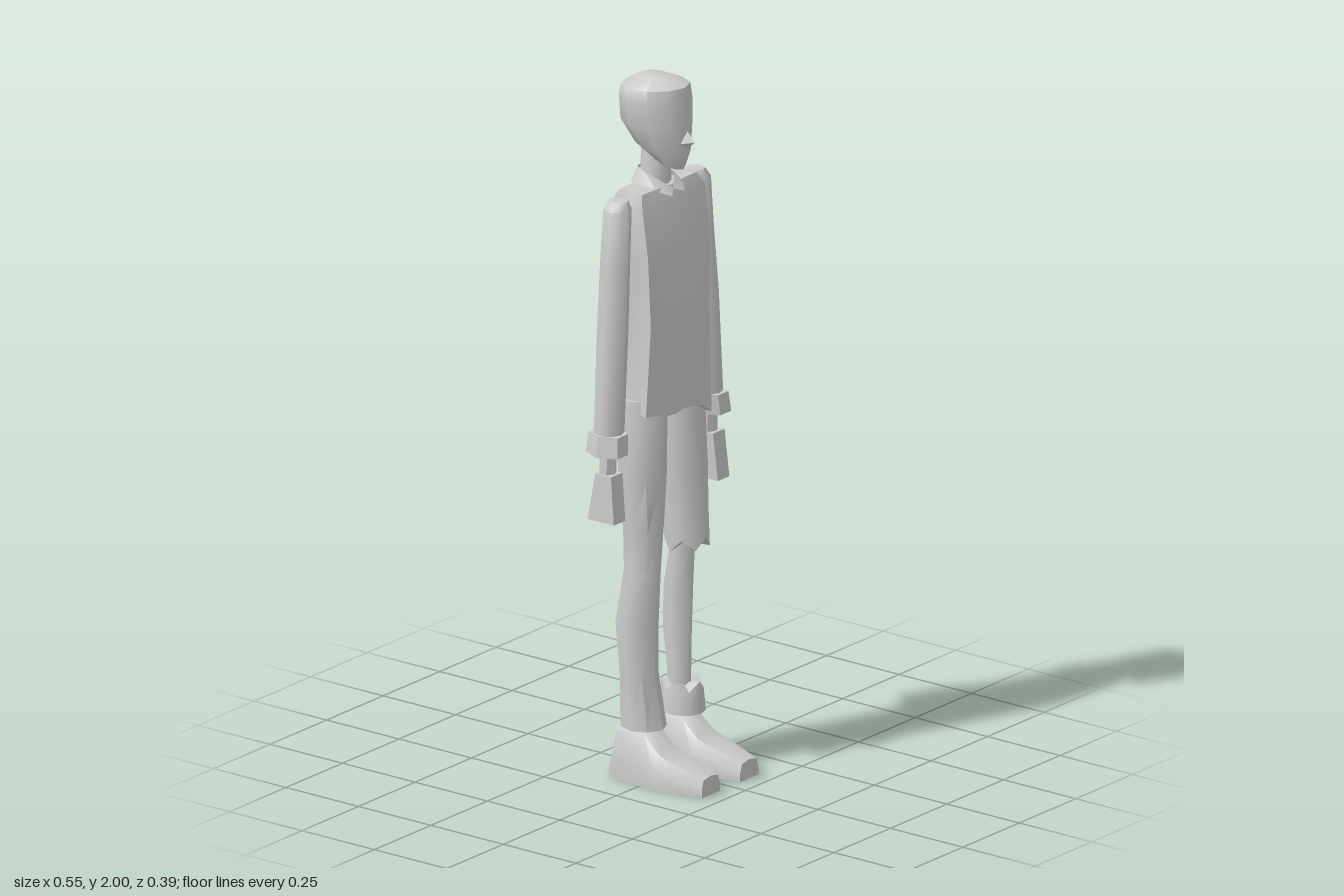
import * as THREE from 'three';
import { toCreasedNormals } from 'three/addons/utils/BufferGeometryUtils.js';
import { ConvexGeometry } from 'three/addons/geometries/ConvexGeometry.js';

const material = new THREE.MeshStandardMaterial({ color: 0xcccccc, side: THREE.DoubleSide });
const V = (x, y, z) => new THREE.Vector3(x, y, z);

function mesh(name, geometry) {
  const m = new THREE.Mesh(geometry, material);
  m.name = name;
  return m;
}

// Horizontal elliptical cross-section; tilt raises y along z.
function ring([y, cx, cz, rx, rz, tilt = 0], n, phase = 0) {
  return Array.from({ length: n }, (_, i) => {
    const a = phase + (i / n) * Math.PI * 2;
    const dz = rz * Math.cos(a);
    return V(cx + rx * Math.sin(a), y + tilt * dz, cz + dz);
  });
}

// Skin through equal-length closed sections, capped at both ends.
function loft(name, sections, crease = 0.8) {
  const pos = [];
  const tri = (...pts) => pts.forEach((p) => pos.push(p.x, p.y, p.z));
  const n = sections[0].length;
  for (let s = 0; s < sections.length - 1; s++) {
    const a = sections[s], b = sections[s + 1];
    for (let i = 0; i < n; i++) {
      const j = (i + 1) % n;
      tri(a[i], a[j], b[j]);
      tri(a[i], b[j], b[i]);
    }
  }
  const cap = (sec, flip) => {
    const c = sec.reduce((t, p) => t.add(p), V(0, 0, 0)).divideScalar(n);
    for (let i = 0; i < n; i++) {
      const p = sec[i], q = sec[(i + 1) % n];
      flip ? tri(c, q, p) : tri(c, p, q);
    }
  };
  cap(sections[0], true);
  cap(sections[sections.length - 1], false);
  const g = new THREE.BufferGeometry();
  g.setAttribute('position', new THREE.Float32BufferAttribute(pos, 3));
  return mesh(name, toCreasedNormals(g, crease));
}

const tube = (name, rows, n = 8, phase = 0, crease = 0.8) =>
  loft(name, rows.map((r) => ring(r, n, phase)), crease);

// Open strip between two edges.
function strip(name, top, bottom) {
  const pos = [];
  for (let i = 0; i < top.length - 1; i++) {
    for (const p of [top[i], bottom[i], bottom[i + 1], top[i], bottom[i + 1], top[i + 1]]) pos.push(...p);
  }
  const g = new THREE.BufferGeometry();
  g.setAttribute('position', new THREE.Float32BufferAttribute(pos, 3));
  return mesh(name, toCreasedNormals(g, 0.6));
}

// Shirt section: front width, back width, front z, front corner z, back corner z, back z
function shirtSection([y, wf, wb, zf, zfc, zbc, zb]) {
  const half = [
    [0.065, zf - 0.006], [wf, zfc], [wf - 0.012, zfc - 0.03],
    [wb - 0.012, zbc + 0.03], [wb, zbc], [0.055, zb + 0.006],
  ];
  return [
    V(0, y, zf), ...half.map(([x, z]) => V(x, y, z)),
    V(0, y, zb), ...half.reverse().map(([x, z]) => V(-x, y, z)),
  ];
}

export function createModel() {
  const model = new THREE.Group();

  // Head, nose and neck
  model.add(
    tube('head', [
      [1.763, 0, -0.017, 0.035, 0.054, -0.32],
      [1.8, 0, -0.035, 0.06, 0.085, -0.1],
      [1.87, 0, -0.057, 0.082, 0.107],
      [1.94, 0, -0.06, 0.088, 0.107],
      [1.975, 0, -0.06, 0.083, 0.102, 0.08],
      [2.0, 0, -0.06, 0.035, 0.045],
    ], 10, 0, 1),
    mesh('nose', new ConvexGeometry([
      V(0, 1.865, 0.045), V(-0.02, 1.825, 0.04), V(0.02, 1.825, 0.04), V(0, 1.8, 0.04), V(0, 1.832, 0.076),
    ])),
    tube('neck', [[1.66, 0, -0.06, 0.045, 0.045], [1.8, 0, -0.06, 0.036, 0.042]])
  );

  // Shirt with a slanted front hem and a torn tail
  const shirt = [
    [1.065, 0.145, 0.15, 0.055, 0.02, -0.135, -0.15],
    [1.32, 0.13, 0.128, 0.05, 0.025, -0.095, -0.115],
    [1.52, 0.138, 0.143, 0.042, 0.022, -0.135, -0.152],
    [1.66, 0.138, 0.138, 0.012, 0.002, -0.105, -0.115],
    [1.695, 0.122, 0.122, -0.005, -0.012, -0.092, -0.1],
  ].map(shirtSection);
  shirt[0][1].y = 1.05;
  shirt[0][2].y = 1.005;
  shirt[0][3].y = 1.03;
  shirt[0][6].set(0.055, 1.008, -0.197);
  shirt[0][5].set(0.155, 1.06, -0.155);
  model.add(loft('shirt', shirt, 0.6));
  model.add(tube('hips', [[1.035, 0, -0.045, 0.1, 0.055], [1.15, 0, -0.045, 0.12, 0.07]]));

  for (const s of [1, -1]) {
    const side = s > 0 ? 'left' : 'right';
    const mir = (pts) => pts.map(([x, y, z]) => [s * x, y, z]);
    const rows = (list) => list.map(([y, x, ...rest]) => [y, s * x, ...rest]);

    // Collar half
    model.add(strip(side + 'Collar',
      mir([[0, 1.738, -0.105], [0.035, 1.738, -0.095], [0.046, 1.73, -0.06], [0.03, 1.71, -0.02], [0, 1.685, 0.002]]),
      mir([[0, 1.7, -0.117], [0.05, 1.697, -0.107], [0.067, 1.69, -0.06], [0.058, 1.688, -0.01], [0.028, 1.672, 0.02]])));

    // Sleeve, cuff, wrist and hand
    const arm = new THREE.Group();
    arm.name = side + 'Arm';
    arm.add(
      tube('sleeve', rows([
        [1.0, 0.22, -0.05, 0.042, 0.042],
        [1.32, 0.2, -0.052, 0.041, 0.045],
        [1.5, 0.186, -0.055, 0.038, 0.044],
        [1.66, 0.175, -0.055, 0.037, 0.041],
        [1.685, 0.17, -0.055, 0.024, 0.028],
      ])),
      tube('cuff', rows([[0.972, 0.228, -0.05, 0.048, 0.063], [1.03, 0.222, -0.05, 0.046, 0.058]]), 6, Math.PI / 6, 0.4),
      tube('wrist', rows([[0.89, 0.224, -0.05, 0.024, 0.024], [0.99, 0.222, -0.05, 0.026, 0.026]]), 6),
      tube('hand', rows([
        [0.78, 0.23, -0.05, 0.036, 0.064],
        [0.915, 0.226, -0.045, 0.036, 0.038],
      ]), 4, Math.PI / 4, 0.2)
    );
    model.add(arm);

    // Shoe, skinned from heel to toe: z, half width low, half width top, height, centre x
    const shoe = [
      [-0.12, 0.045, 0.03, 0.05, 0.085],
      [-0.1, 0.058, 0.035, 0.15, 0.085],
      [0.0, 0.064, 0.038, 0.148, 0.085],
      [0.05, 0.066, 0.04, 0.103, 0.085],
      [0.1, 0.06, 0.042, 0.085, 0.086],
      [0.197, 0.04, 0.032, 0.055, 0.085],
    ].map(([z, w, t, h, cx]) => [
      [-w, 0], [w, 0], [w, h * 0.45], [t, h * 0.9], [0, h], [-t, h * 0.9], [-w, h * 0.45],
    ].map(([x, y]) => V(s * cx + x, y, z)));
    model.add(loft(side + 'Shoe', shoe, 0.75));
  }

  // Full trouser leg on the right
  model.add(tube('rightTrouserLeg', [
    [0.15, -0.085, -0.035, 0.06, 0.066],
    [0.3, -0.088, -0.048, 0.052, 0.054],
    [0.45, -0.092, -0.052, 0.056, 0.062],
    [0.6, -0.084, -0.04, 0.045, 0.055],
    [0.72, -0.086, -0.035, 0.05, 0.06],
    [0.87, -0.09, -0.035, 0.065, 0.068],
    [1.1, -0.08, -0.045, 0.066, 0.075],
  ]));

  // Torn trouser leg on the left, with a ragged hem
  const torn = [
    [0.64, 0.095, -0.025, 0.054, 0.066],
    [0.72, 0.094, -0.03, 0.058, 0.066],
    [0.87, 0.09, -0.035, 0.065, 0.068],
    [1.1, 0.08, -0.045, 0.066, 0.075],
  ].map((r) => ring(r, 10));
  torn[0].forEach((p, i) => { p.y += (i % 2 ? -0.02 : 0.012) + p.z * 0.15; });
  model.add(loft('leftTornTrouserLeg', torn));

  // Bare lower leg
  model.add(tube('leftShin', [
    [0.12, 0.088, -0.045, 0.03, 0.033],
    [0.25, 0.09, -0.048, 0.03, 0.034],
    [0.38, 0.094, -0.058, 0.034, 0.044],
    [0.5, 0.098, -0.058, 0.034, 0.046],
    [0.6, 0.092, -0.042, 0.03, 0.04],
    [0.72, 0.092, -0.035, 0.036, 0.044],
  ]));

  // Leftover trouser scrap around the ankle, with a loose flap
  const scrap = [
    [0.15, 0.086, -0.035, 0.06, 0.067],
    [0.225, 0.089, -0.037, 0.054, 0.06],
  ].map((r) => ring(r, 10));
  scrap[1].forEach((p, i) => { p.y += i % 2 ? -0.012 : 0.015; });
  model.add(loft('ankleScrap', scrap));
  model.add(strip('ankleFlap',
    [[0.125, 0.23, -0.075], [0.155, 0.243, -0.08], [0.185, 0.222, -0.075]],
    [[0.135, 0.235, -0.025], [0.158, 0.238, -0.04], [0.185, 0.22, -0.07]]));

  return model;
}
